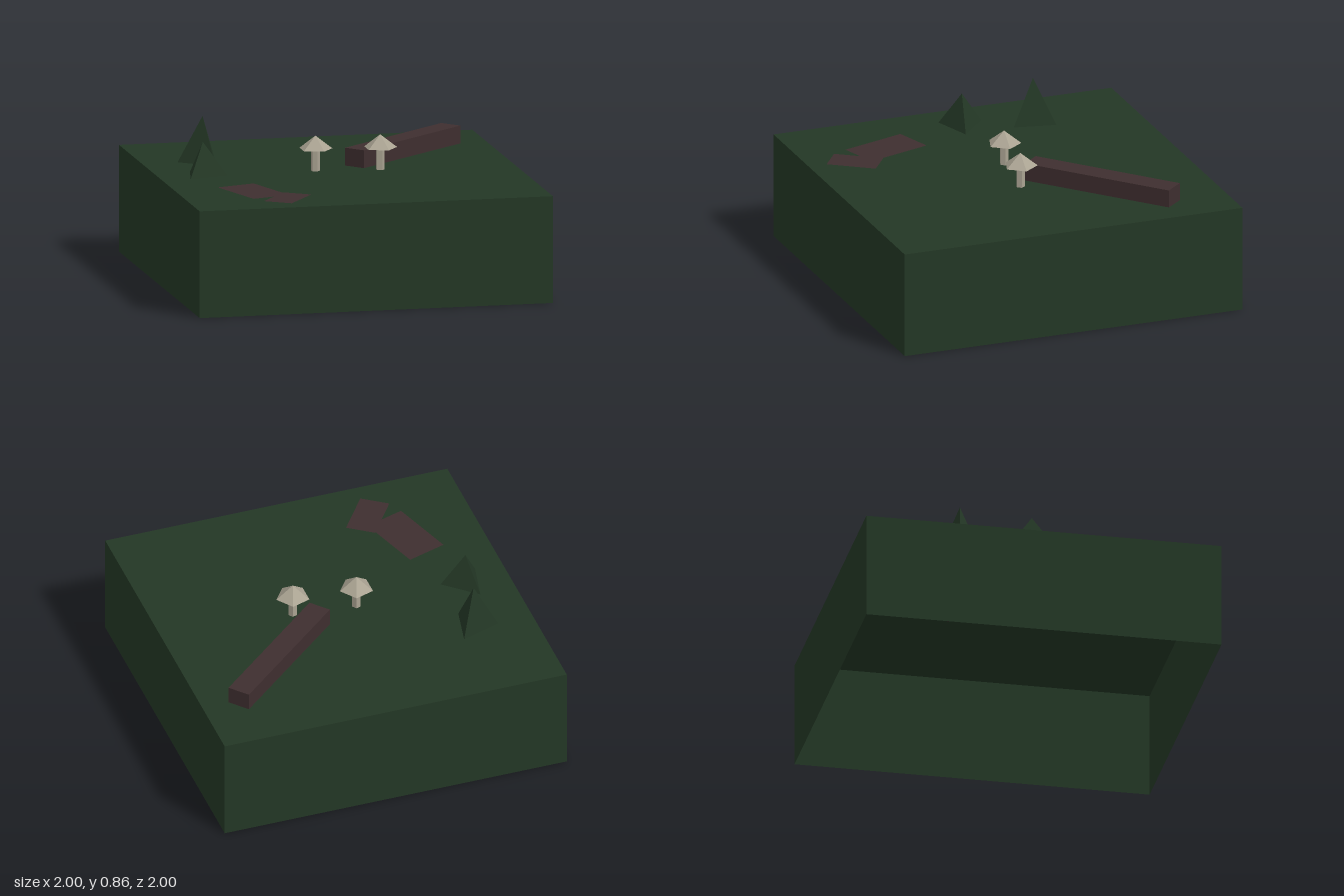
import * as THREE from 'three';

const GROUND = 0.6;

const material = (name, color, extra = {}) => {
  const m = new THREE.MeshStandardMaterial({ color, flatShading: true, ...extra });
  m.name = name;
  return m;
};

export function createModel() {
  const model = new THREE.Group();
  model.name = 'forestTile';
  const green = material('forestGreen', 0x233725, { side: THREE.DoubleSide });
  const brown = material('barkBrown', 0x3e2e2f, { side: THREE.DoubleSide });
  const cream = material('mushroomCream', 0xaaa392);

  const add = (parent, name, geometry, mat, x, y, z, turn = 0) => {
    const mesh = new THREE.Mesh(geometry, mat);
    mesh.name = name;
    mesh.position.set(x, y, z);
    mesh.rotation.y = turn;
    parent.add(mesh);
    return mesh;
  };

  // Ground block: hollow shell, open underneath
  const shell = new THREE.BoxGeometry(2, GROUND, 2);
  const index = Array.from(shell.index.array);
  index.splice(18, 6); // drop the bottom face
  shell.setIndex(index);
  shell.clearGroups();
  add(model, 'groundBlock', shell, green, 0, GROUND / 2, 0);

  // Three-sided trees: x, z, height, turn
  [[-0.663, -0.405, 0.26, 2.418], [-0.75, -0.018, 0.19, 1.359]].forEach(([x, z, h, turn]) => {
    add(model, 'tree', new THREE.ConeGeometry(0.138, h, 3, 1, true), green, x, GROUND + h / 2, z, turn);
  });

  // Five-sided mushrooms
  [[-0.112, -0.02], [0.245, 0.022]].forEach(([x, z]) => {
    const mushroom = new THREE.Group();
    mushroom.name = 'mushroom';
    mushroom.position.set(x, GROUND, z);
    mushroom.rotation.y = Math.PI / 2;
    add(mushroom, 'stem', new THREE.CylinderGeometry(0.025, 0.025, 0.13, 5, 1, true), cream, 0, 0.065, 0);
    add(mushroom, 'cap', new THREE.ConeGeometry(0.096, 0.075, 5), cream, 0, 0.16, 0);
    model.add(mushroom);
  });

  // Fallen log
  add(model, 'fallenLog', new THREE.BoxGeometry(0.9, 0.1, 0.13), brown, 0.464, GROUND + 0.05, -0.378, 0.715);

  // Flat earth patches: width, length, x, z, turn
  [[0.23, 0.39, -0.58, 0.497, 0.309], [0.167, 0.28, -0.442, 0.735, -0.62]].forEach(([w, l, x, z, turn], i) => {
    const patch = new THREE.PlaneGeometry(w, l).rotateX(-Math.PI / 2);
    add(model, 'earthPatch', patch, brown, x, GROUND + 0.002 + i * 0.001, z, turn);
  });

  return model;
}
